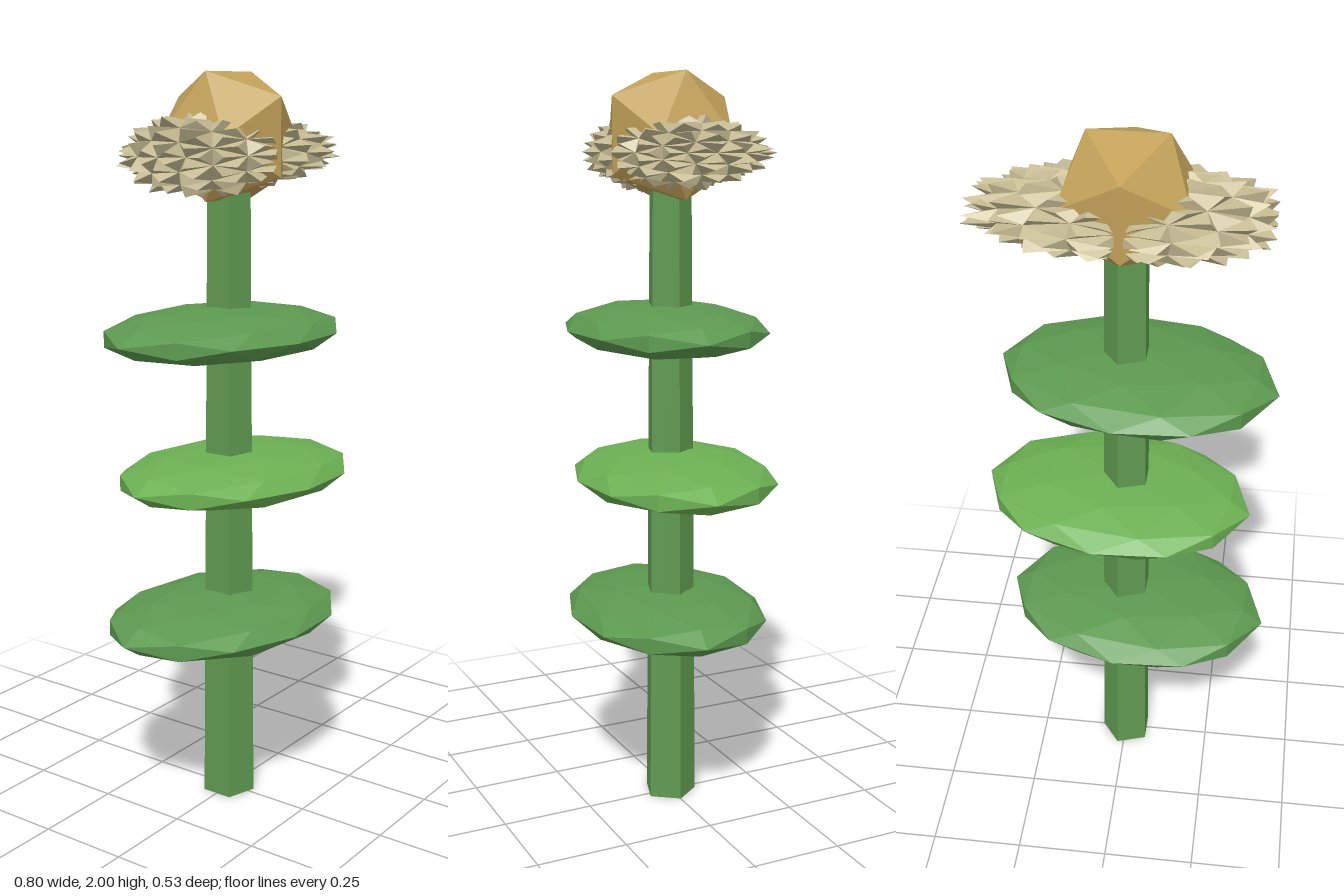
import * as THREE from 'three';

const CX = -0.005; // stem axis

function addPart(group, name, geometry, color, x, y) {
  const material = new THREE.MeshStandardMaterial({ color, flatShading: true });
  const mesh = new THREE.Mesh(geometry, material);
  mesh.name = name;
  mesh.position.set(x, y, 0);
  group.add(mesh);
  return mesh;
}

// Small seeded generator for uneven spikes
function seeded(seed) {
  return () => {
    seed = (seed * 16807) % 2147483647;
    return seed / 2147483647;
  };
}

// Ball whose every face is raised into a spike, stretched to a long oval
function spikyGeometry(rx, ry, rz) {
  const rand = seeded(71);
  const base = new THREE.IcosahedronGeometry(1, 2).getAttribute('position');
  const shape = (v) => {
    const t = Math.abs(v.x);
    const right = v.x > 0;
    const y = v.y * (right ? 1 - 0.15 * t : 1 + 0.25 * t);
    const z = v.z * (right ? 1 + 0.25 * t : 1);
    const x = THREE.MathUtils.clamp(v.x * rx, -0.365, 0.4);
    return [x, y * ry, z * rz];
  };
  const points = [];
  for (let i = 0; i < base.count; i += 3) {
    const corners = [0, 1, 2].map((k) => new THREE.Vector3().fromBufferAttribute(base, i + k).multiplyScalar(0.9));
    const tip = new THREE.Vector3().add(corners[0]).add(corners[1]).add(corners[2]);
    tip.setLength(1 + 0.1 * rand());
    for (let k = 0; k < 3; k++) {
      points.push(...shape(corners[k]), ...shape(corners[(k + 1) % 3]), ...shape(tip));
    }
  }
  const geometry = new THREE.BufferGeometry();
  geometry.setAttribute('position', new THREE.Float32BufferAttribute(points, 3));
  geometry.computeVertexNormals();
  return geometry;
}

export function createModel() {
  const group = new THREE.Group();
  group.name = 'flower';

  // Five-sided tapering stem with one edge toward +x
  const stem = new THREE.CylinderGeometry(0.059, 0.074, 1.75, 5);
  stem.rotateY(Math.PI / 2);
  addPart(group, 'stem', stem, 0x5f9a50, CX, 0.875);

  // Flat faceted leaves, shifted to alternating sides
  const leafShape = new THREE.IcosahedronGeometry(1, 1);
  leafShape.rotateY(Math.PI / 2);
  leafShape.scale(0.371, 0.07, 0.27);
  [0.54, 0.935, 1.33].forEach((y, i) => {
    const middle = i === 1;
    const leaf = addPart(group, 'leaf' + (i + 1), leafShape, middle ? 0x6bb052 : 0x5c994f, CX + (middle ? 0.027 : -0.027), y);
    leaf.rotation.y = -0.15;
  });

  // Spiky petal crown
  addPart(group, 'petals', spikyGeometry(0.385, 0.1, 0.172), 0xc5bb93, 0, 1.795);

  // Faceted flower centre
  addPart(group, 'flowerCentre', new THREE.IcosahedronGeometry(0.191, 0), 0xc2a158, CX, 1.8375);

  return group;
}
